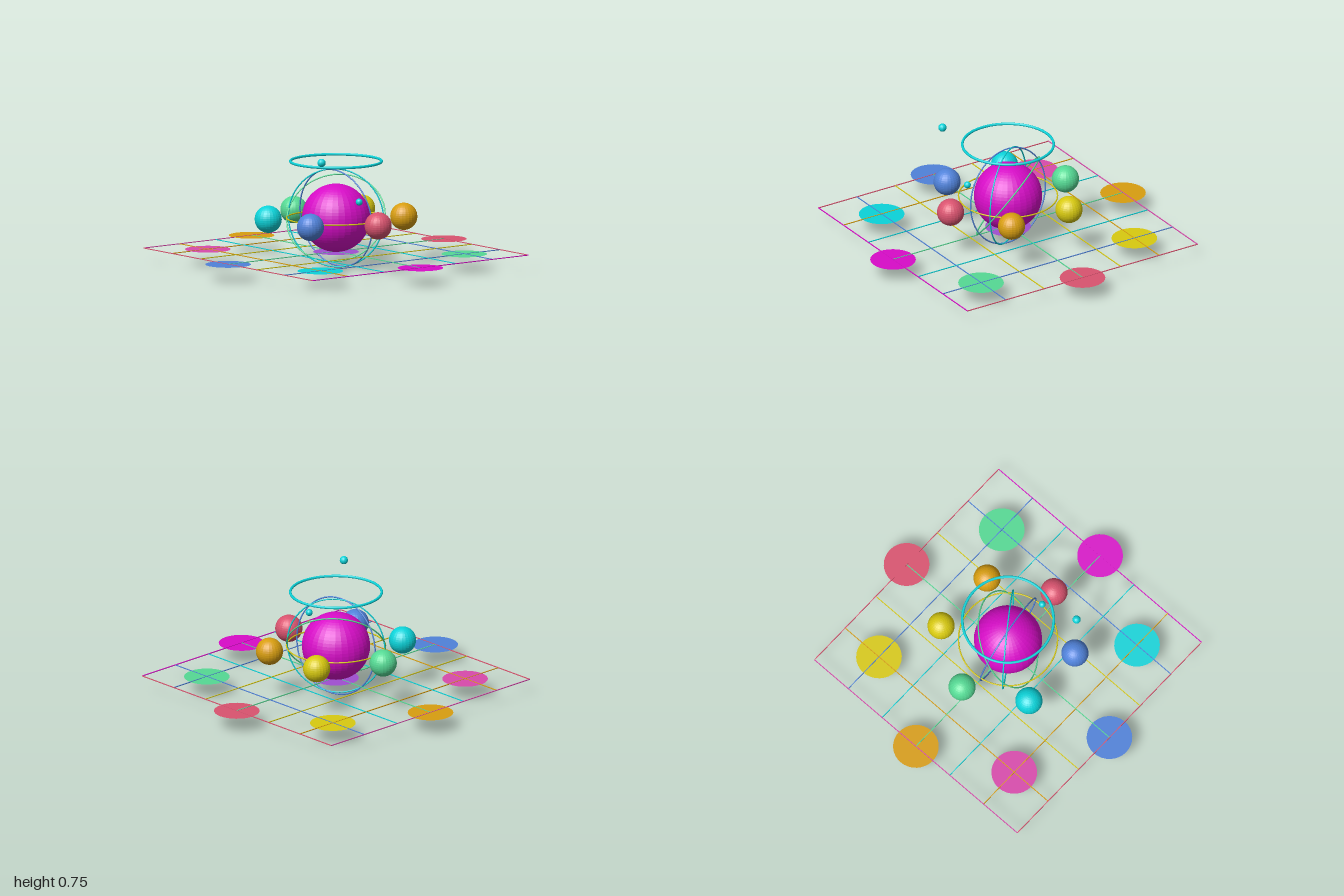
import * as THREE from 'three';

const MID = 0.324;   // height of the core and its orbits
const FLOOR = 0.11;  // height of the grid and pads

export function createModel() {
  const model = new THREE.Group();
  model.name = 'orbitDisplay';

  const colours = {
    magenta: 0xd80cc8, cyan: 0x0bd3d9, yellow: 0xd8ca10, red: 0xd9536f, green: 0x55d994,
    blue: 0x5082d9, orange: 0xd89e10, pink: 0xd84aac, purple: 0xa04fd0,
  };
  const mats = {};
  for (const [name, color] of Object.entries(colours)) {
    mats[name] = new THREE.MeshStandardMaterial({ color, side: THREE.DoubleSide });
    mats[name].name = name;
  }

  const add = (name, geometry, colour, x, y, z) => {
    const mesh = new THREE.Mesh(geometry, mats[colour]);
    mesh.name = name;
    mesh.position.set(x, y, z);
    model.add(mesh);
    return mesh;
  };
  // Faceted ball
  const ball = (radius, w, h) => {
    const g = new THREE.SphereGeometry(radius, w, h).toNonIndexed();
    g.computeVertexNormals();
    return g;
  };
  // Ring whose axis points along the given normal
  const ring = (name, colour, radius, tube, y, normal) => {
    const mesh = add(name, new THREE.TorusGeometry(radius, tube, 8, 80), colour, 0, y, 0);
    mesh.quaternion.setFromUnitVectors(new THREE.Vector3(0, 0, 1), new THREE.Vector3(...normal).normalize());
  };

  // Core
  add('core', ball(0.214, 32, 32), 'magenta', 0, MID, 0);

  // Six orbs around the core
  const orb = ball(0.0855, 24, 20);
  ['red', 'blue', 'cyan', 'green', 'yellow', 'orange'].forEach((colour, i) => {
    const a = i * Math.PI / 3;
    add('orb', orb, colour, 0.428 * Math.cos(a), MID, 0.371 / Math.sin(Math.PI / 3) * Math.sin(a));
  });

  // Thin orbit rings and the halo
  ring('equatorRing', 'yellow', 0.31, 0.0045, MID, [0, 1, 0]);
  ring('frontRing', 'blue', 0.31, 0.0045, MID, [0.145, -0.1, 0.984]);
  ring('turnedRing', 'cyan', 0.31, 0.0045, MID, [0.585, 0, 0.81]);
  ring('slantedRing', 'green', 0.31, 0.0045, MID, [0.54, 0.6, 0.59]);
  ring('halo', 'cyan', 0.286, 0.0085, 0.682, [0, 1, 0]);

  // Small satellites
  add('upperSatellite', ball(0.026, 16, 12), 'cyan', 0.275, 0.735, 0.33);
  add('lowerSatellite', ball(0.022, 16, 12), 'cyan', 0.28, 0.46, 0.035);

  // Grid of thin bars: xColours run left to right, zColours back to front
  const reach = 0.857, step = reach / 3, bar = 0.005;
  const xColours = ['pink', 'orange', 'yellow', 'green', 'yellow', 'blue', 'magenta'];
  const zColours = ['red', 'blue', 'cyan', 'green', 'cyan', 'orange', 'red'];
  const alongZ = new THREE.BoxGeometry(bar, bar, 2 * reach);
  const alongX = new THREE.BoxGeometry(2 * reach, bar, bar);
  for (let i = 0; i < 7; i++) {
    const p = (i - 3) * step;
    add('gridBarLengthwise', alongZ, xColours[i], p, FLOOR, 0);
    add('gridBarCrosswise', alongX, zColours[i], 0, FLOOR, p);
  }

  // Round pads on the grid
  const pad = new THREE.CircleGeometry(0.143, 32).rotateX(-Math.PI / 2);
  const far = reach, diag = 2 * step;
  const pads = [
    [0, 0, 'purple'], [far, 0, 'magenta'], [diag, diag, 'cyan'], [0, far, 'blue'], [-diag, diag, 'pink'],
    [-far, 0, 'orange'], [-diag, -diag, 'yellow'], [0, -far, 'red'], [diag, -diag, 'green'],
  ];
  for (const [x, z, colour] of pads) add('pad', pad, colour, x, FLOOR, z);

  return model;
}
